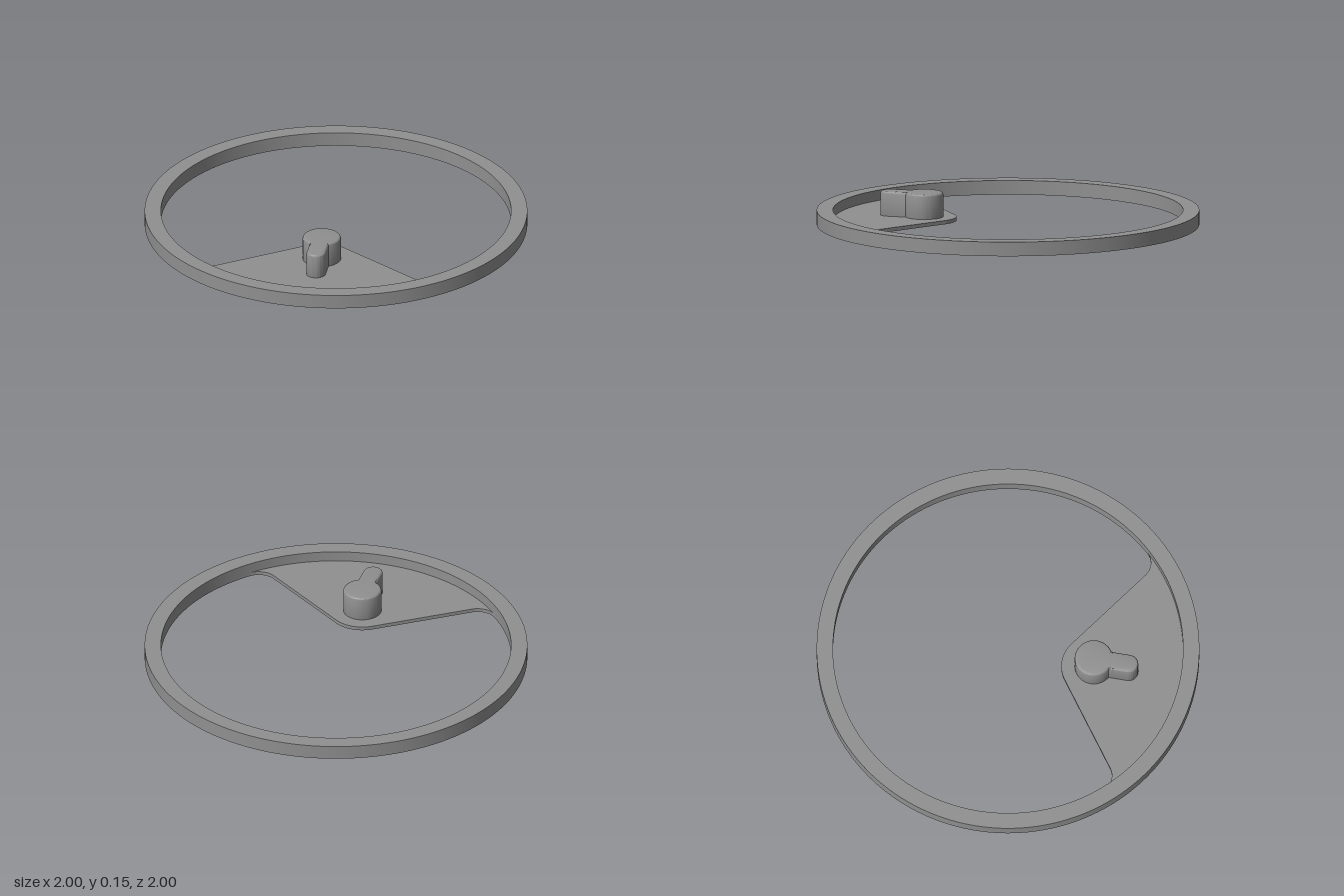
import * as THREE from 'three';
import { toCreasedNormals } from 'three/addons/utils/BufferGeometryUtils.js';

const R = 1, INNER = 0.915;          // ring radii
const HUB_Z = 0.455, HUB_R = 0.17;   // rounded tip of the plate
const FIL_X = 0.6, FIL_Z = 0.555;    // fillet between plate and ring
const FIL_R = INNER - Math.hypot(FIL_X, FIL_Z);

// Extrude a plan shape (shape y = -z) upwards from height y
function slab(shape, y, depth, options = {}) {
  const geo = new THREE.ExtrudeGeometry(shape, { depth, bevelEnabled: false, curveSegments: 32, ...options });
  geo.rotateX(-Math.PI / 2).translate(0, y, 0);
  return toCreasedNormals(geo, 0.5);
}

function ringShape() {
  const s = new THREE.Shape().absarc(0, 0, R, 0, Math.PI * 2, false);
  s.holes.push(new THREE.Path().absarc(0, 0, INNER, 0, Math.PI * 2, true));
  return s;
}

function plateShape() {
  // direction normal to the straight edge tangent to tip and fillet
  const dx = FIL_X, dy = HUB_Z - FIL_Z;
  const t = Math.atan2(dy, dx) + Math.acos((HUB_R + FIL_R) / Math.hypot(dx, dy));
  const a = Math.atan2(FIL_Z, FIL_X);
  const s = new THREE.Shape();
  s.absarc(0, -HUB_Z, HUB_R, t, Math.PI - t, false);
  s.absarc(-FIL_X, -FIL_Z, FIL_R, -t, a - Math.PI, true);
  s.absarc(0, 0, INNER, a - Math.PI, -a, false);
  s.absarc(FIL_X, -FIL_Z, FIL_R, -a, t - Math.PI, true);
  s.closePath();
  return s;
}

function keyholeShape() {
  const r = 0.1, w = 0.05, b = Math.acos(w / r);
  const s = new THREE.Shape();
  s.absarc(0, -HUB_Z, r, -b, Math.PI + b, false);
  s.absarc(0, -0.64, w, Math.PI, Math.PI * 2, false);
  s.closePath();
  return s;
}

export function createModel() {
  const grey = new THREE.MeshStandardMaterial({ color: 0x909090 });
  grey.name = 'grey';
  const model = new THREE.Group();
  model.name = 'ringWithKeyedPlate';
  const add = (name, geo) => {
    const mesh = new THREE.Mesh(geo, grey);
    mesh.name = name;
    model.add(mesh);
  };

  add('ring', slab(ringShape(), 0, 0.075, { curveSegments: 96 }));
  add('plate', slab(plateShape(), 0, 0.02));

  // boss with softened top edge; its lower bevel is buried in the plate
  const bevel = 0.014;
  add('keyholeBoss', slab(keyholeShape(), 0.004 + bevel, 0.146 - 2 * bevel, {
    bevelEnabled: true, bevelThickness: bevel, bevelSize: bevel, bevelOffset: -bevel, bevelSegments: 3, curveSegments: 24,
  }));
  return model;
}
